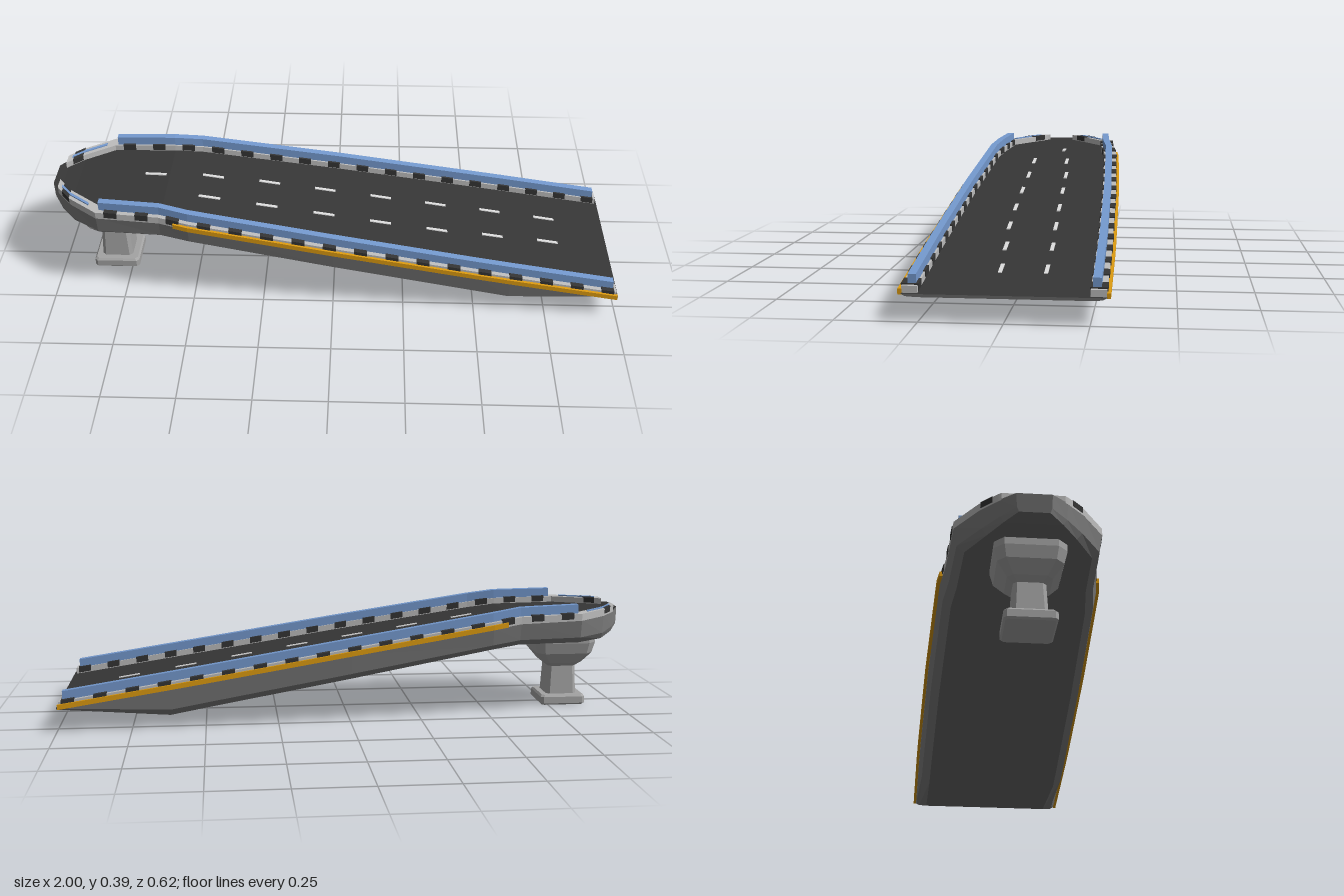
import * as THREE from 'three';

const paint = (name, color) => {
  const m = new THREE.MeshStandardMaterial({ color });
  m.name = name;
  return m;
};

// Deck stations: x, half width, road y, bottom y
const STATIONS = [
  [-1, 0.055, 0.36, 0.295], [-0.97, 0.105, 0.352, 0.275], [-0.92, 0.16, 0.347, 0.258],
  [-0.82, 0.232, 0.343, 0.256], [-0.6, 0.246, 0.337, 0.254], [-0.5, 0.262, 0.322, 0.24],
  [0, 0.282, 0.243, 0.15], [0.5, 0.294, 0.162, 0.062], [0.62, 0.296, 0.143, 0.04],
  [1, 0.299, 0.083, 0.074],
];

// Linear lookup along the deck
function deckAt(x) {
  let i = 0;
  while (i < STATIONS.length - 2 && x > STATIONS[i + 1][0]) i++;
  const a = STATIONS[i], b = STATIONS[i + 1];
  const t = (x - a[0]) / (b[0] - a[0]);
  const [w, top] = [1, 2].map((k) => a[k] + (b[k] - a[k]) * t);
  return { w, top };
}

// Stations between two x values, including the ends
const span = (x0, x1) => [x0, ...STATIONS.map((s) => s[0]).filter((x) => x > x0 + 1e-4 && x < x1 - 1e-4), x1];

// Faceted, capped loft; rings run clockwise seen from the far end. One group per side, caps last.
function loft(rings) {
  const pos = [], n = rings[0].length, last = rings[rings.length - 1];
  const geo = new THREE.BufferGeometry();
  const tri = (...pts) => pts.forEach((p) => pos.push(...p));
  for (let j = 0; j < n; j++) {
    const start = pos.length / 3, k = (j + 1) % n;
    for (let i = 0; i < rings.length - 1; i++) {
      const a = rings[i], b = rings[i + 1];
      tri(a[j], b[j], a[k]);
      tri(a[k], b[j], b[k]);
    }
    geo.addGroup(start, pos.length / 3 - start, j);
  }
  const start = pos.length / 3;
  for (let j = 1; j < n - 1; j++) {
    tri(rings[0][0], rings[0][j], rings[0][j + 1]);
    tri(last[0], last[j + 1], last[j]);
  }
  geo.addGroup(start, pos.length / 3 - start, n);
  geo.setAttribute('position', new THREE.Float32BufferAttribute(pos, 3));
  geo.computeVertexNormals();
  return geo;
}

export function createModel() {
  const model = new THREE.Group();
  const asphalt = paint('asphalt', 0x363636);
  const side = paint('girder side', 0x7c7c7c);
  const under = paint('girder underside', 0x686868);
  const concrete = paint('pier concrete', 0xa4a4a4);
  const kerbGrey = paint('kerb grey', 0xbcbcbc);
  const blue = paint('rail blue', 0x7499ce);
  const amber = paint('edge amber', 0xdc9a10);
  const white = paint('lane white', 0xdcdcdc);
  const dark = paint('post dark', 0x343434);

  const add = (name, geometry, material, parent = model) => {
    const mesh = new THREE.Mesh(geometry, material);
    mesh.name = name;
    parent.add(mesh);
  };

  // Rectangular strip following the deck; zLimits(w) gives two z values, y0..y1 is height above the road
  const strip = (name, material, x0, x1, zLimits, y0, y1, parent) => {
    const rings = span(x0, x1).map((x) => {
      const { w, top } = deckAt(x);
      const zs = zLimits(w), hi = Math.max(...zs), lo = Math.min(...zs);
      return [[x, top + y1, hi], [x, top + y1, lo], [x, top + y0, lo], [x, top + y0, hi]];
    });
    add(name, loft(rings), material, parent);
  };

  // Deck: road on top, upright edges, low haunches and flat underside
  const deckRings = STATIONS.map(([x, w, top, bottom]) => {
    const mid = top - (top - bottom) * 0.75, wm = w * 0.955, wb = w * 0.85;
    return [[x, top, w], [x, top, -w], [x, mid, -wm], [x, bottom, -wb], [x, bottom, wb], [x, mid, wm]];
  });
  add('deck', loft(deckRings), [asphalt, side, side, under, side, side, under]);

  // Kerb, edge stripe, dark kerb blocks and guard rail on both sides
  for (const s of [1, -1]) {
    const edge = new THREE.Group();
    edge.name = s > 0 ? 'frontEdge' : 'backEdge';
    model.add(edge);
    const across = (a, b) => (w) => [s * (w - a), s * (w - b)];
    strip('kerb', kerbGrey, -0.975, 0.992, across(0.048, 0), -0.004, 0.021, edge);
    strip('edgeStripe', amber, -0.55, 0.995, across(0.002, -0.01), -0.004, 0.013, edge);
    strip('guardRail', blue, -0.81, 0.98, across(0.042, 0.017), 0.02, 0.052, edge);
    strip('noseStripe', blue, -0.96, -0.85, across(0.03, 0.018), 0.018, 0.025, edge);
    for (let i = 0; i < 17; i++) {
      const x = -0.79 + i * 0.108;
      strip('kerbBlock', dark, x, x + 0.045, across(0.05, -0.002), 0.003, 0.025, edge);
    }
    strip('noseBlock', dark, -0.955, -0.925, across(0.05, -0.002), 0.003, 0.023, edge);
  }

  // Lane dashes: z position of each dash, from the nose to the foot of the ramp
  const laneZ = [
    [-0.04, -0.067, -0.08, -0.085, -0.09, -0.096, -0.104, -0.106],
    [null, 0.063, 0.063, 0.064, 0.064, 0.06, 0.046, 0.034],
  ];
  laneZ.forEach((lane) => lane.forEach((z, i) => {
    if (z === null) return;
    const x = -0.65 + i * 0.204;
    strip('laneDash', white, x - 0.038, x + 0.038, () => [z - 0.006, z + 0.006], 0, 0.003);
  }));

  // Pier: chamfered square sections stacked upwards
  const pier = new THREE.Group();
  pier.name = 'pier';
  pier.position.x = -0.805;
  model.add(pier);
  const section = (y, r, cut) => {
    const c = r - cut;
    return [[r, -c], [r, c], [c, r], [-c, r], [-r, c], [-r, -c], [-c, -r], [c, -r]].map(([x, z]) => [x, y, z]);
  };
  const stack = (name, rows) => add(name, loft(rows.map((r) => section(...r))), concrete, pier);
  stack('pierFoot', [[0, 0.076, 0.008], [0.006, 0.082, 0.01], [0.03, 0.082, 0.01], [0.037, 0.076, 0.01]]);
  stack('pierShaft', [[0.03, 0.056, 0.012], [0.15, 0.05, 0.012]]);
  stack('pierCap', [[0.14, 0.05, 0.012], [0.155, 0.07, 0.018], [0.195, 0.102, 0.026], [0.235, 0.112, 0.03], [0.262, 0.112, 0.03]]);

  return model;
}
